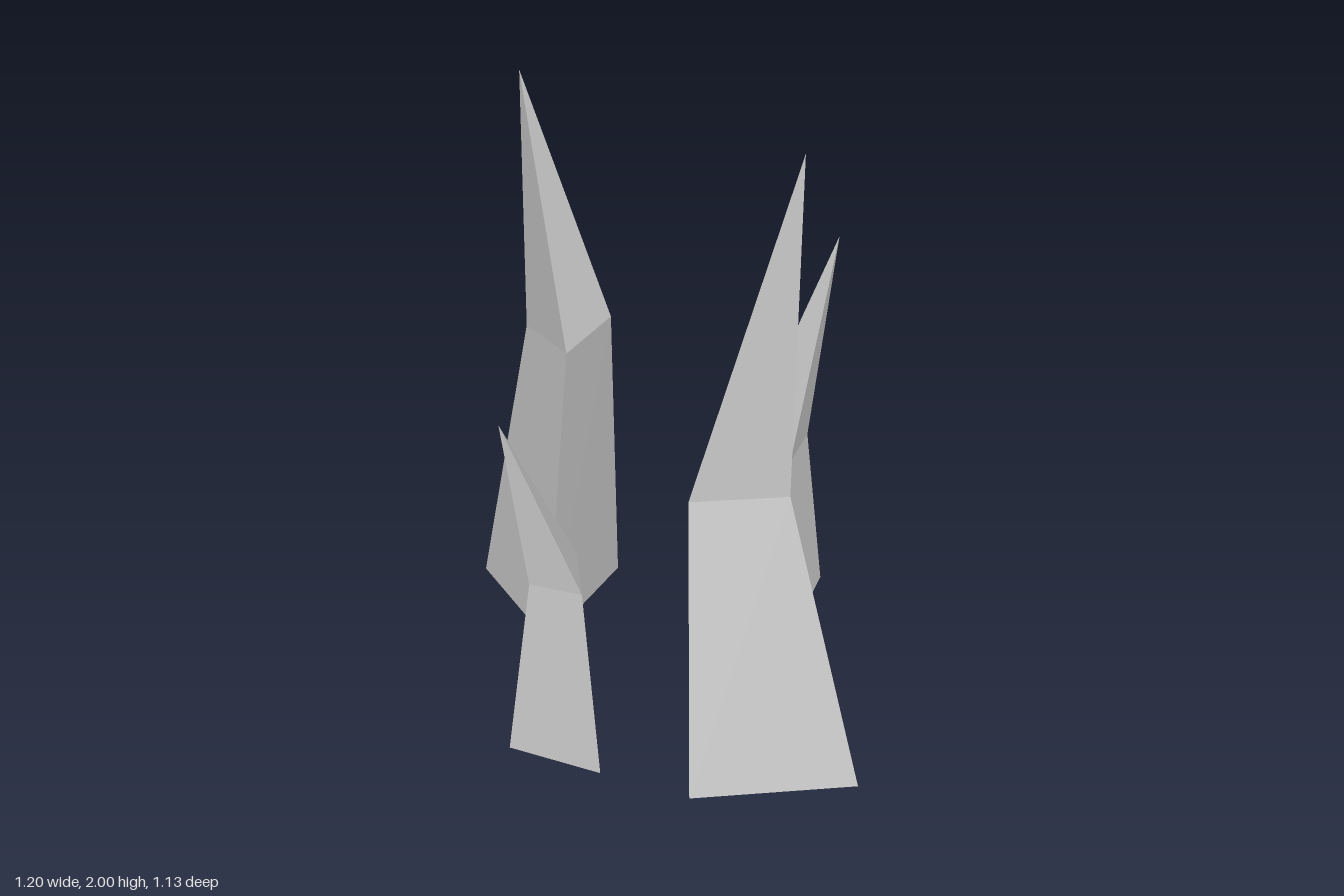
import * as THREE from 'three';

// Each spike: triangular base, bent waist and a tip. Rings run counterclockwise from above.
const SPIKES = [
  {
    name: 'frontLeftSpike',
    base: [[0.6, 0, 0.512], [0.302, 0, 0.104], [0.095, 0, 0.565]],
    waist: [[0.37, 0.95, 0.365], [0.204, 0.95, 0.132], [0.086, 0.95, 0.392]],
    tip: [0.366, 2, 0.396],
  },
  {
    name: 'backRightSpike',
    base: [[-0.14, 0, -0.568], [-0.6, 0, -0.562], [-0.364, 0, -0.166]],
    waist: [[-0.146, 1.09, -0.411], [-0.408, 1.06, -0.408], [-0.274, 1.09, -0.182]],
    tip: [-0.4, 1.89, -0.434],
  },
  {
    name: 'backLeftSpike',
    base: [[0.562, 0, -0.516], [0.225, 0, -0.464], [0.442, 0, -0.197]],
    waist: [[0.487, 0.62, -0.468], [0.295, 0.65, -0.441], [0.42, 0.63, -0.288]],
    tip: [0.556, 1.33, -0.486],
  },
  {
    name: 'frontRightSpike',
    base: [[-0.215, 0, 0.158], [-0.453, 0, 0.346], [-0.172, 0, 0.458]],
    waist: [[-0.237, 0.66, 0.24], [-0.371, 0.62, 0.335], [-0.215, 0.64, 0.411]],
    tip: [-0.436, 1.16, 0.325],
  },
];

function spikeGeometry({ base, waist, tip }) {
  const points = [];
  for (let i = 0; i < 3; i++) {
    const j = (i + 1) % 3;
    points.push(base[i], base[j], waist[j], base[i], waist[j], waist[i]); // lower side
    points.push(waist[i], waist[j], tip); // upper side
  }
  points.push(base[0], base[2], base[1]); // underside
  const geometry = new THREE.BufferGeometry();
  geometry.setAttribute('position', new THREE.Float32BufferAttribute(points.flat(), 3));
  geometry.computeVertexNormals();
  return geometry;
}

export function createModel() {
  const model = new THREE.Group();
  model.name = 'spikes';
  const material = new THREE.MeshStandardMaterial({ color: 0xcccccc, flatShading: true });
  for (const spike of SPIKES) {
    const mesh = new THREE.Mesh(spikeGeometry(spike), material);
    mesh.name = spike.name;
    model.add(mesh);
  }
  return model;
}
